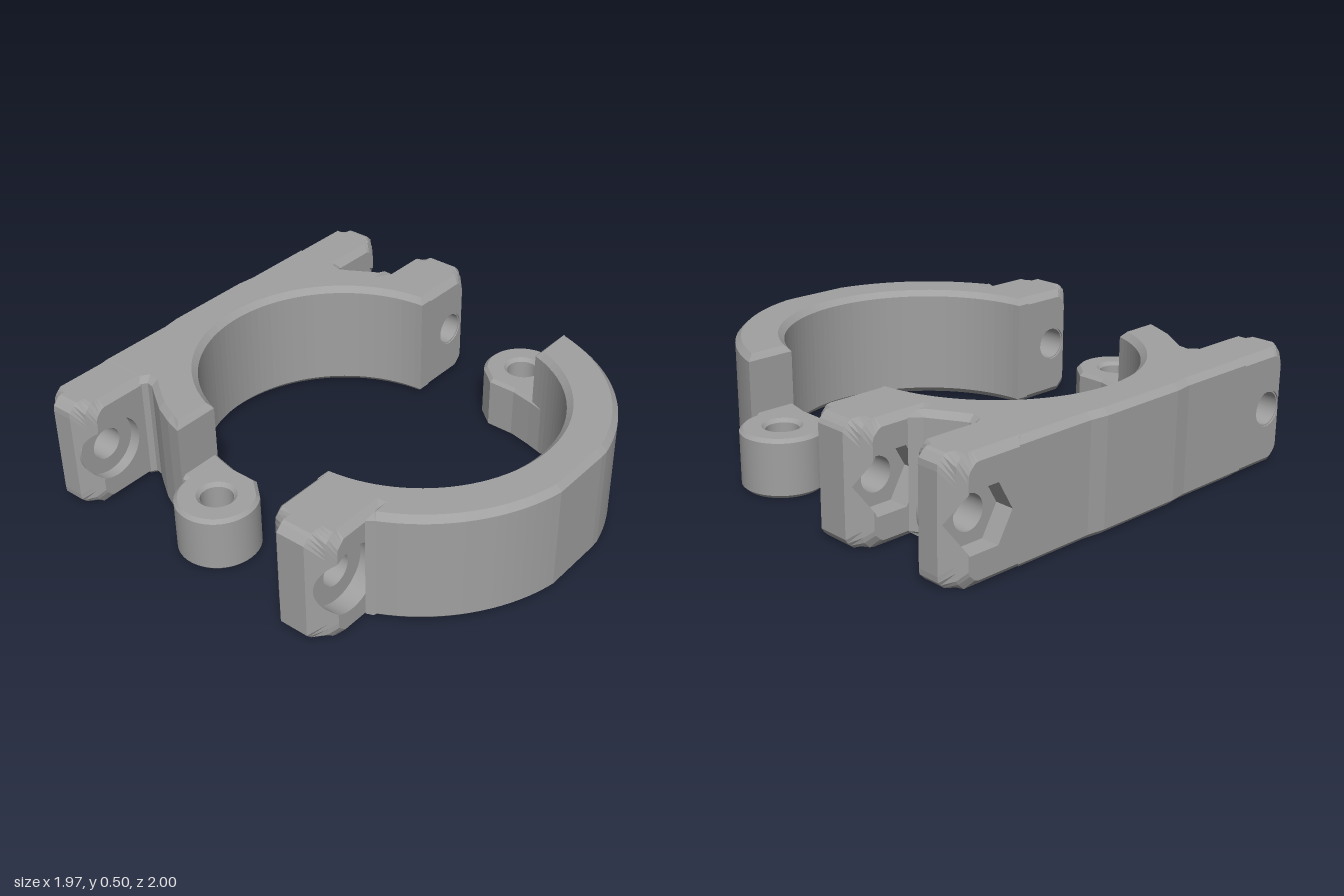
import * as THREE from 'three';

const H = 0.5, BEVEL = 0.025, BORE = 0.07;

// Plan outline (x, z) raised from y0 to y1 with chamfered top and bottom edges
function raise(shape, y0, y1, bevel) {
  const geo = new THREE.ExtrudeGeometry(shape, {
    depth: y1 - y0 - 2 * bevel, curveSegments: 48, bevelEnabled: true,
    bevelThickness: bevel, bevelSize: bevel, bevelOffset: -bevel, bevelSegments: 1,
  });
  geo.rotateX(Math.PI / 2);
  geo.translate(0, y1 - bevel, 0);
  return geo;
}

// Pocket outlines as a radius per angle
const round = (r) => () => r;
const hexagon = (r) => (a) => {
  const m = ((a % (Math.PI / 3)) + Math.PI / 3) % (Math.PI / 3);
  return r * Math.cos(Math.PI / 6) / Math.cos(m - Math.PI / 6);
};
const plain = { radius: round(BORE + 0.006), depth: 0.006 };

// Chamfered block with a bore along z and a pocket at each end;
// wide pockets break through the chamfers
function boredBlock({ side, cx, out, inn, z0, z1, c, back, front }) {
  const N = 96, hy = H / 2, pos = [];
  const edge = (a, ix, iy) => {
    const u = Math.cos(a) * side, v = Math.abs(Math.sin(a));
    const o = out - ix, h = hy - iy;
    let r = u > 0 ? o / u : inn / Math.max(-u, 1e-6);
    r = Math.min(r, h / Math.max(v, 1e-6));
    if (u > 0) r = Math.min(r, (o + h - 0.035) / (u + v));
    return r;
  };
  const end = (a, z, dir, pocket) => {
    const h = pocket.radius(a);
    const pts = [[edge(a, 0, 0), z - dir * c],
      [edge(a, c - 0.03, 0), z - dir * 0.03],
      [edge(a, c, 0.03), z]];
    for (let k = 1; k < 3; k++) {
      const p = pts[k - 1], q = pts[k];
      if (q[0] < h) {
        const t = (p[0] - h) / Math.max(p[0] - q[0], 1e-6);
        pts[k] = [h, p[1] + (q[1] - p[1]) * t];
        if (k === 1) pts[2] = pts[1];
        break;
      }
    }
    const rim = pts[2][0] <= h ? pts[2] : [h, z];
    return { pts, inner: [rim, [h, z - dir * pocket.depth], [BORE, z - dir * pocket.depth]] };
  };
  const rows = [];
  for (let i = 0; i < N; i++) {
    const a = i / N * Math.PI * 2;
    const b = end(a, z0, -1, back), f = end(a, z1, 1, front);
    const profile = [...b.pts.reverse(), ...f.pts, ...f.inner, ...b.inner.reverse()];
    rows.push(profile.map(([r, z]) => [cx + r * Math.cos(a), hy + r * Math.sin(a), z]));
  }
  for (let i = 0; i < N; i++) {
    const p = rows[i], q = rows[(i + 1) % N], n = p.length;
    for (let k = 0; k < n; k++) {
      const l = (k + 1) % n;
      pos.push(...p[k], ...q[k], ...q[l], ...p[k], ...q[l], ...p[l]);
    }
  }
  const geo = new THREE.BufferGeometry();
  geo.setAttribute('position', new THREE.Float32BufferAttribute(pos, 3));
  geo.computeVertexNormals();
  return geo;
}

// Arc about (0, cz) sampled from one angle to another
function arc(cz, r, from, to, maxZ = Infinity) {
  return Array.from({ length: 49 }, (_, i) => {
    const a = from + (to - from) * i / 48;
    return new THREE.Vector2(r * Math.cos(a), Math.min(cz + r * Math.sin(a), maxZ));
  });
}
const points = (list) => list.map(([x, z]) => new THREE.Vector2(x, z));

// Half-height hinge eye with its short arm
function lugGeometry() {
  const cx = -0.77, cz = -0.2, r = 0.172;
  const s = new THREE.Shape();
  s.moveTo(-0.74, -0.46);
  s.lineTo(-0.55, -0.46);
  s.lineTo(-0.575, -0.37);
  s.lineTo(-0.597, -0.27);
  s.lineTo(-0.597, -0.145);
  s.lineTo(cx + r * Math.cos(0.9), cz + r * Math.sin(0.9));
  s.absarc(cx, cz, r, 0.9, Math.PI * 1.5, false);
  s.lineTo(-0.77, -0.39);
  const hole = new THREE.Path();
  hole.absarc(cx, cz, 0.068, 0, Math.PI * 2, true);
  s.holes.push(hole);
  return raise(s, 0, 0.25, 0.015);
}

export function createModel() {
  const model = new THREE.Group();
  const grey = new THREE.MeshStandardMaterial({ color: 0xa0a0a0 });
  grey.name = 'grey plastic';
  const add = (parent, name, geo) => {
    const mesh = new THREE.Mesh(geo, grey);
    mesh.name = name;
    parent.add(mesh);
    return mesh;
  };
  const frontHalf = new THREE.Group(), rearHalf = new THREE.Group();
  frontHalf.name = 'frontClampHalf';
  rearHalf.name = 'rearClampHalf';
  model.add(frontHalf, rearHalf);

  // Front half ring, flattened at the front
  const fc = 0.21;
  const frontRing = new THREE.Shape([
    ...arc(fc, 0.805, Math.asin(0.19 / 0.805), Math.PI - Math.asin(0.36 / 0.805), 1),
    ...points([[-0.745, 0.54], [-0.66, 0.53], [-0.66, 0.24]]),
    ...arc(fc, 0.6, Math.PI - 0.05, Math.asin(0.19 / 0.6)),
  ]);
  add(frontHalf, 'frontRing', raise(frontRing, 0, H, BEVEL));

  // Bolt tab with a round counterbore
  add(frontHalf, 'frontBoltTab', boredBlock({
    side: -1, cx: -0.82, out: 0.165, inn: 0.195, z0: 0.24, z1: 0.54, c: 0.085,
    back: plain, front: { radius: round(0.145), depth: 0.08 },
  }));
  const frontLug = add(frontHalf, 'frontHingeLug', lugGeometry());
  frontLug.rotation.y = Math.PI;
  frontLug.position.set(-0.01, 0, 0.02);

  // Rear half ring merged with the middle of the mounting plate
  const rc = -0.2;
  const rearRing = new THREE.Shape([
    ...points([[-0.64, -0.99], [-0.28, -0.99], [-0.2, -1], [0.2, -1], [0.28, -0.99], [0.64, -0.99],
      [0.64, -0.75], [0.62, -0.735], [0.615, -0.71], [0.63, -0.68], [0.70, -0.56], [0.74, -0.52],
      [0.66, -0.51], [0.66, -0.23]]),
    ...arc(rc, 0.6, -0.05, -Math.PI + Math.asin(0.19 / 0.6)),
    ...points([[-0.775, -0.39], [-0.75, -0.47], [-0.71, -0.56], [-0.65, -0.65], [-0.615, -0.70],
      [-0.61, -0.73], [-0.64, -0.75]]),
  ]);
  add(rearHalf, 'rearRing', raise(rearRing, 0, H, BEVEL));

  // Bolt tab with a hexagonal nut pocket
  add(rearHalf, 'rearBoltTab', boredBlock({
    side: 1, cx: 0.82, out: 0.16, inn: 0.195, z0: -0.52, z1: -0.23, c: 0.075,
    back: { radius: hexagon(0.14), depth: 0.09 }, front: plain,
  }));

  // Mounting plate ends
  for (const side of [-1, 1]) {
    add(rearHalf, side > 0 ? 'leftPlateEnd' : 'rightPlateEnd', boredBlock({
      side, cx: side * 0.81, out: 0.148, inn: 0.205, z0: -0.99, z1: -0.745, c: 0.075,
      back: side > 0 ? { radius: hexagon(0.136), depth: 0.08 } : plain,
      front: { radius: round(0.136), depth: 0.05 },
    }));
  }
  add(rearHalf, 'rearHingeLug', lugGeometry());
  return model;
}
